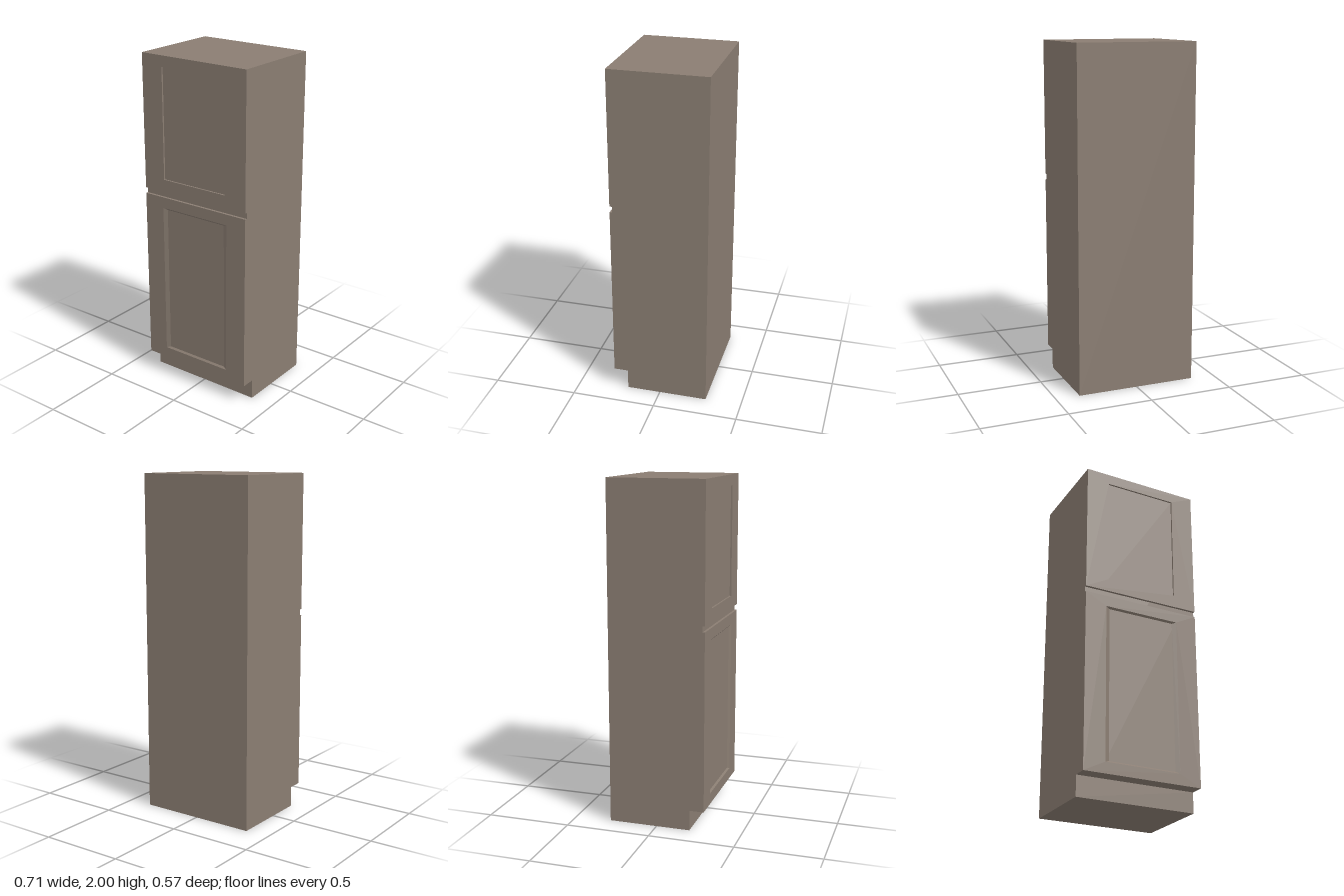
import * as THREE from 'three';

const W = 0.357, BACK = -0.285, FRONT = 0.285, CORE = 0.27, FLOOR = 0.275;
const material = new THREE.MeshStandardMaterial({ color: 0x8a7d72, flatShading: true });

function add(parent, name, geometry) {
  const mesh = new THREE.Mesh(geometry, material);
  mesh.name = name;
  parent.add(mesh);
  return mesh;
}

// corners of a rectangle centred on x = 0, counter-clockwise from the front
const corners = (hw, y0, y1) => [[-hw, y0], [hw, y0], [hw, y1], [-hw, y1]];
const points = (c) => c.map(([x, y]) => new THREE.Vector2(x, y));

// sloping walls from the frame opening down to the recessed panel
function slopedWalls(outer, inner) {
  const pos = [];
  for (let i = 0; i < 4; i++) {
    const j = (i + 1) % 4;
    const a = [...outer[i], FRONT], b = [...outer[j], FRONT];
    const c = [...inner[j], FLOOR], d = [...inner[i], FLOOR];
    pos.push(...a, ...b, ...c, ...a, ...c, ...d);
  }
  const g = new THREE.BufferGeometry();
  g.setAttribute('position', new THREE.Float32BufferAttribute(pos, 3));
  g.computeVertexNormals();
  return g;
}

// framed door with a shallow recessed panel
function door(name, y0, y1, outer, inner) {
  const group = new THREE.Group();
  group.name = name;
  const shape = new THREE.Shape(points(corners(W, y0, y1)));
  shape.holes.push(new THREE.Path(points(outer)));
  const frame = new THREE.ExtrudeGeometry(shape, { depth: FRONT - CORE, bevelEnabled: false });
  frame.translate(0, 0, CORE);
  add(group, 'doorFrame', frame);
  const [[x0, p0], , [x1, p1]] = outer;
  const panel = add(group, 'recessedPanel', new THREE.BoxGeometry(x1 - x0, p1 - p0, FLOOR - CORE));
  panel.position.set(0, (p0 + p1) / 2, (FLOOR + CORE) / 2);
  if (inner) add(group, 'panelBevel', slopedWalls(outer, inner));
  return group;
}

export function createModel() {
  const model = new THREE.Group();
  model.name = 'tallCabinet';

  // carcass side profile with toe kick, drawn as (-z, y) and swept across the width
  const profile = new THREE.Shape(points([
    [-0.2, 0], [-BACK, 0], [-BACK, 2], [-CORE, 2], [-CORE, 0.12], [-0.2, 0.12],
  ]));
  const carcass = new THREE.ExtrudeGeometry(profile, { depth: 2 * W, bevelEnabled: false });
  carcass.translate(0, 0, -W).rotateY(Math.PI / 2);
  add(model, 'carcass', carcass);

  // doors, separated by a narrow finger groove
  model.add(door('lowerDoor', 0.12, 1.17, corners(0.228, 0.185, 1.105), corners(0.203, 0.195, 1.095)));
  model.add(door('upperDoor', 1.205, 2, corners(0.217, 1.28, 1.936)));
  return model;
}
